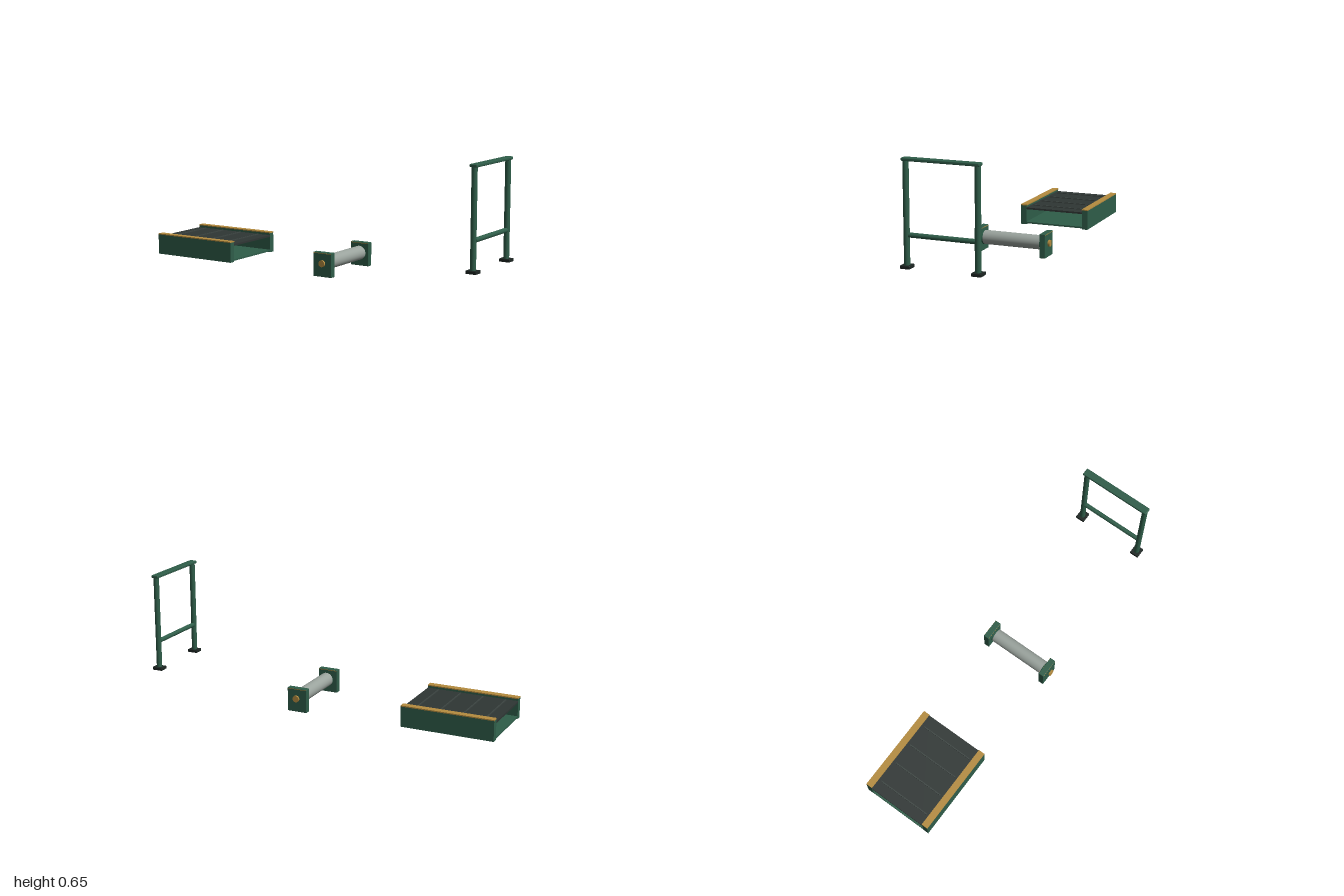
import * as THREE from 'three';
import { RoundedBoxGeometry } from 'three/addons/geometries/RoundedBoxGeometry.js';

const paint = (color) => new THREE.MeshStandardMaterial({ color });

export function createModel() {
  const green = paint(0x2f5d49);
  const dark = paint(0x1c2522);
  const beltGrey = paint(0x2f3634);
  const ribGrey = paint(0x3c4542);
  const gold = paint(0xb58c3f);
  const steel = paint(0x9aa39d);

  const model = new THREE.Group();
  model.position.z = -0.002;

  const section = (name) => {
    const g = new THREE.Group();
    g.name = name;
    model.add(g);
    return g;
  };
  const add = (parent, name, geometry, material, x, y, z) => {
    const mesh = new THREE.Mesh(geometry, material);
    mesh.name = name;
    mesh.position.set(x, y, z);
    parent.add(mesh);
    return mesh;
  };
  const box = (w, h, d) => new THREE.BoxGeometry(w, h, d);
  const soft = (w, h, d, r) => new RoundedBoxGeometry(w, h, d, 2, r);
  const rodZ = (r, length) => new THREE.CylinderGeometry(r, r, length, 32).rotateX(Math.PI / 2);

  // Conveyor bed: belt over an open tray between two side rails
  const bed = section('conveyorBed');
  const bedX = -0.7475, bedL = 0.505;
  add(bed, 'belt', box(bedL, 0.01, 0.34), beltGrey, bedX, 0.106, 0);
  add(bed, 'bottomPan', box(bedL, 0.009, 0.34), green, bedX, 0.0225, 0);
  for (const x of [-0.938, -0.813, -0.688, -0.563])
    add(bed, 'beltRib', box(0.006, 0.006, 0.304), ribGrey, x, 0.113, 0);
  for (const s of [1, -1]) {
    add(bed, 'sideRail', box(bedL, 0.11, 0.033), green, bedX, 0.067, s * 0.1865);
    add(bed, 'railCap', box(bedL, 0.006, 0.037), gold, bedX, 0.125, s * 0.1855);
  }

  // Roller carried by two end plates
  const roller = section('rollerUnit');
  const rollX = 0.106, rollY = 0.073;
  add(roller, 'rollerDrum', rodZ(0.038, 0.324), steel, rollX, rollY, 0);
  for (const s of [1, -1]) {
    add(roller, 'endPlate', soft(0.112, 0.13, 0.033, 0.003), green, 0.102, 0.065, s * 0.1865);
    add(roller, 'plateTrim', box(0.108, 0.003, 0.0335), gold, 0.102, 0.1255, s * 0.1865);
    add(roller, 'rollerCollar', rodZ(0.035, 0.012), green, rollX, 0.069, s * 0.165);
  }
  add(roller, 'axlePin', rodZ(0.018, 0.01), gold, rollX, rollY, 0.213);
  add(roller, 'axlePin', rodZ(0.018, 0.012), gold, rollX, rollY, -0.207);

  // Guard frame: two posts on feet with top and middle bars
  const frame = section('guardFrame');
  const frameX = 0.971;
  for (const s of [1, -1]) {
    add(frame, 'foot', soft(0.058, 0.016, 0.052, 0.002), dark, frameX, 0.12, s * 0.187);
    add(frame, 'post', new THREE.CylinderGeometry(0.015, 0.015, 0.515, 24), green, frameX, 0.3825, s * 0.187);
  }
  add(frame, 'topRail', soft(0.042, 0.016, 0.407, 0.005), green, frameX, 0.644, 0);
  add(frame, 'middleBar', rodZ(0.0125, 0.35), green, frameX, 0.2755, 0);

  return model;
}
